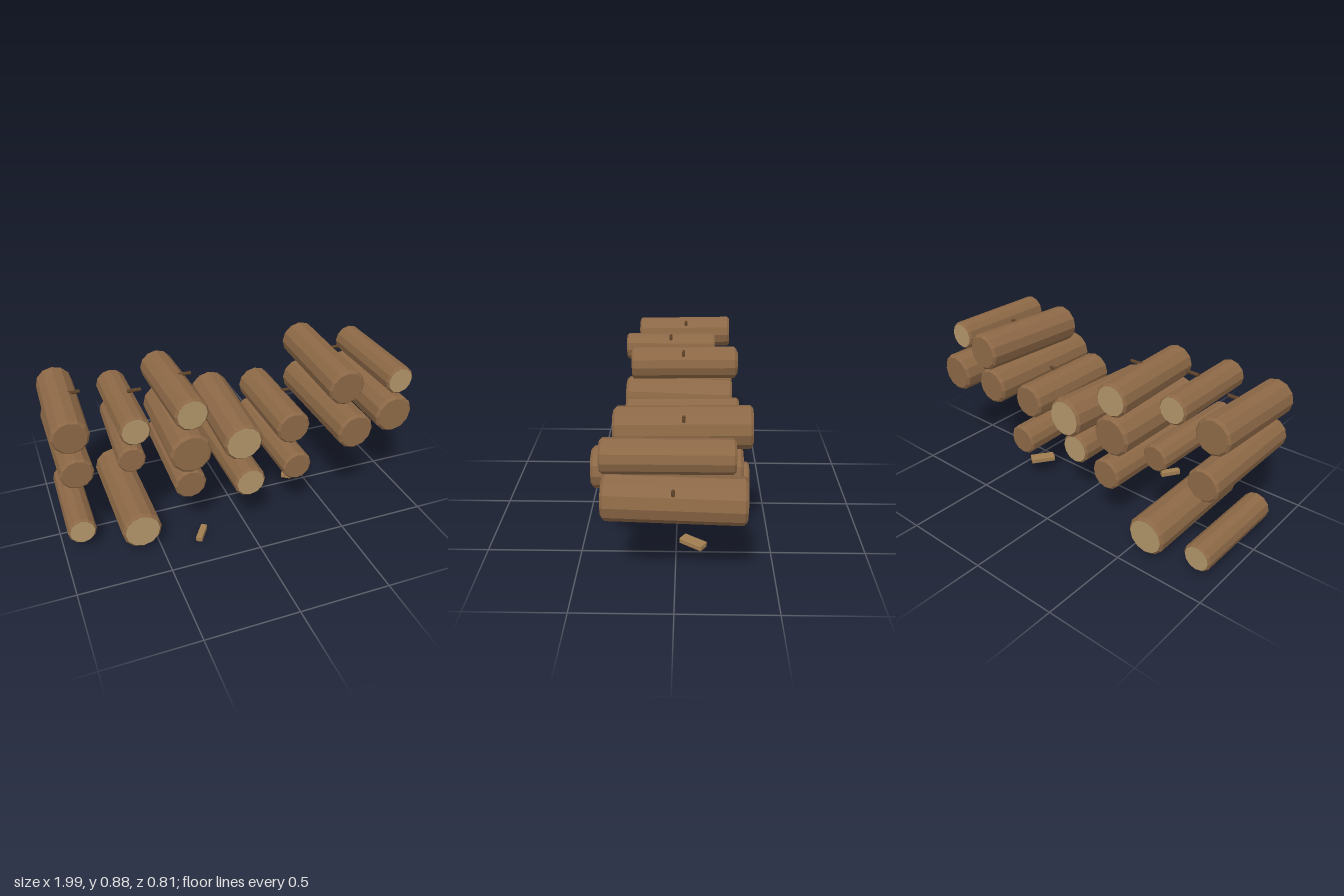
import * as THREE from 'three';
import { RoundedBoxGeometry } from 'three/addons/geometries/RoundedBoxGeometry.js';

const SIDES = 12;
const UP = new THREE.Vector3(0, 1, 0);
const material = (color) => new THREE.MeshStandardMaterial({ color, flatShading: true });
const bark = material(0x8c6846);
const cutWood = material(0xb09468);
const twigWood = material(0x5c4128);
const chipWood = material(0xa17d50);

const add = (parent, name, geometry, mat) => {
  const mesh = new THREE.Mesh(geometry, mat);
  mesh.name = name;
  parent.add(mesh);
  return mesh;
};

// Bevelled trunk running from front to back, optionally with pale sawn ends
function addLog(model, front, back, r, pale) {
  const h = front.distanceTo(back) / 2;
  const bevel = r * 0.13;
  const log = new THREE.Group();
  log.name = 'log';
  log.position.copy(front).add(back).multiplyScalar(0.5);
  log.quaternion.setFromUnitVectors(UP, front.clone().sub(back).normalize());
  model.add(log);

  const profile = [
    new THREE.Vector2(0, -h), new THREE.Vector2(r - bevel, -h), new THREE.Vector2(r, bevel - h),
    new THREE.Vector2(r, h - bevel), new THREE.Vector2(r - bevel, h), new THREE.Vector2(0, h),
  ];
  add(log, 'trunk', new THREE.LatheGeometry(profile, SIDES), bark);

  if (pale) {
    for (const s of [1, -1]) {
      const face = add(log, 'sawnFace', new THREE.CircleGeometry(r - bevel, SIDES), cutWood);
      face.position.y = s * (h + 0.001);
      face.rotation.x = -s * Math.PI / 2;
      face.rotation.z = Math.PI / 2;
    }
  }
}

// Short twig pointing sideways out of the upper flank of a log
function addTwig(model, x, y, z) {
  const twig = add(model, 'twigStub', new THREE.CylinderGeometry(0.009, 0.01, 0.07, 7), twigWood);
  twig.rotation.z = -Math.PI / 2;
  twig.position.set(x + 0.067, y + 0.077, z);
}

// One horizontal row of logs: column, radius, front z, back z, pale ends, twig z, lean x, lean y
function addRow(model, y, logs) {
  for (const [column, r, zFront, zBack, pale, twigZ, dx = 0, dy = 0] of logs) {
    const x = column * 0.295 - 0.006;
    const front = new THREE.Vector3(x - dx / 2, y - dy / 2, zFront);
    const back = new THREE.Vector3(x + dx / 2, y + dy / 2, zBack);
    addLog(model, front, back, r, pale);
    if (twigZ !== null) addTwig(model, x, y, twigZ);
  }
}

// Loose wood chip lying on the ground
function addChip(model, x, z, width, length, turn) {
  const chip = add(model, 'woodChip', new RoundedBoxGeometry(width, 0.031, length, 1, 0.004), chipWood);
  chip.position.set(x, 0.0155, z);
  chip.rotation.y = turn;
}

export function createModel() {
  const model = new THREE.Group();

  addRow(model, 0.771, [
    [-3, 0.096, 0.255, -0.32, false, -0.04, 0.016, 0.015],
    [-2, 0.08, 0.32, -0.22, true, 0.05],
    [-1, 0.093, 0.27, -0.335, true, -0.03, -0.02],
    [2, 0.104, 0.29, -0.365, false, -0.04, 0.015, 0.015],
    [3, 0.081, 0.325, -0.27, true, null],
  ]);
  addRow(model, 0.555, [
    [-3, 0.087, 0.265, -0.385, false, -0.065],
    [-2, 0.073, 0.25, -0.33, false, -0.015, 0.03, -0.015],
    [-1, 0.113, 0.305, -0.315, false, null, 0.02, -0.012],
    [0, 0.11, 0.285, -0.34, true, null, 0.018, 0.015],
    [1, 0.097, 0.255, -0.325, false, -0.035],
    [2, 0.104, 0.405, -0.325, false, 0.045],
    [3, 0.111, 0.325, -0.33, false, 0.003, 0.017, -0.01],
  ]);
  addRow(model, 0.343, [
    [-1, 0.088, 0.265, -0.355, false, null, 0.016],
    [0, 0.088, 0.36, -0.27, true, null],
    [1, 0.084, 0.32, -0.383, false, -0.025, 0, -0.01],
  ]);
  addRow(model, 0.129, [
    [-3, 0.077, 0.19, -0.375, true, null, 0.01, -0.01],
    [-2, 0.108, 0.3, -0.403, true, null, 0, -0.012],
  ]);

  addChip(model, -0.265, 0.288, 0.035, 0.117, -0.58);
  addChip(model, 0.435, -0.09, 0.06, 0.142, -0.61);
  return model;
}
